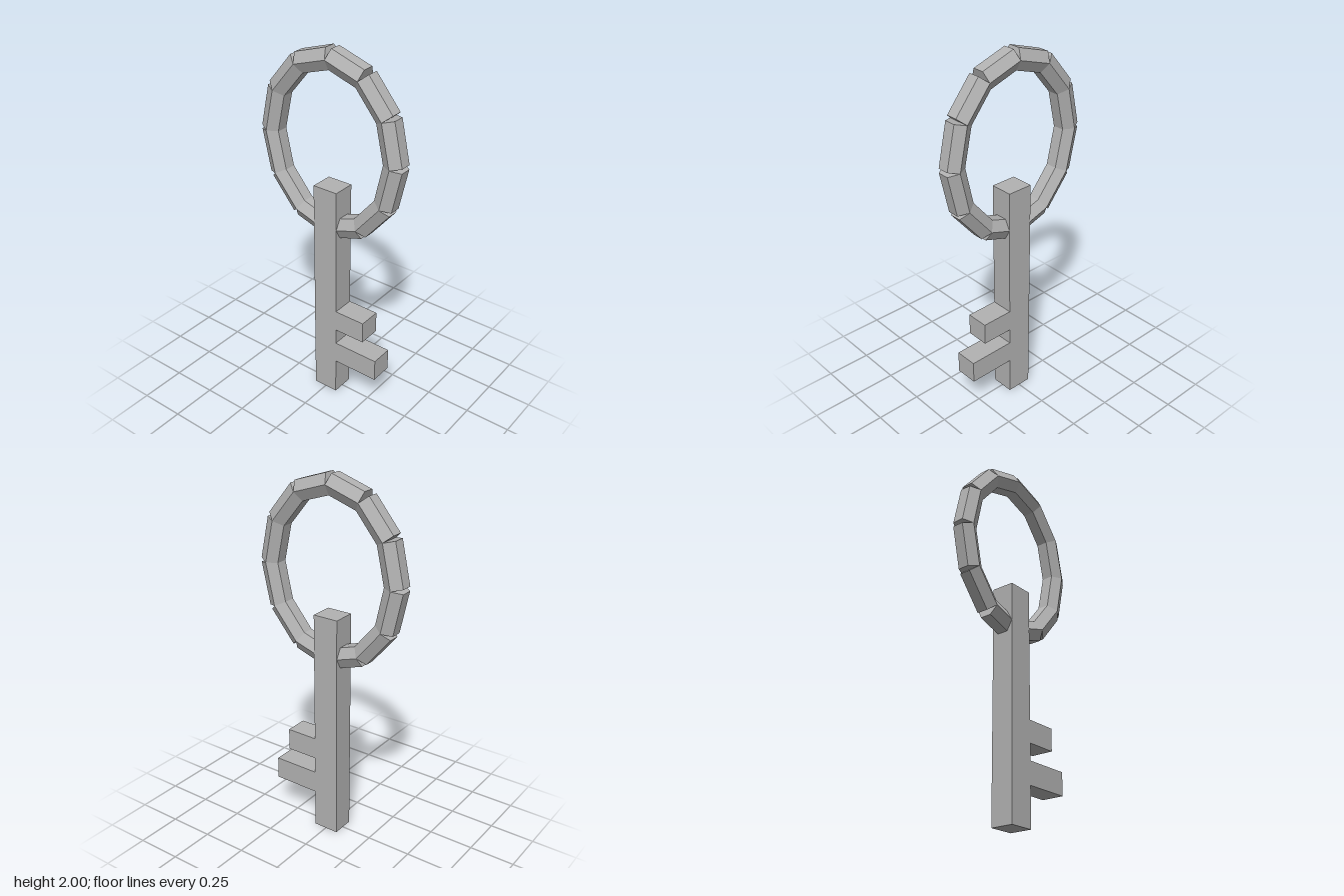
import * as THREE from 'three';

export function createModel() {
  const model = new THREE.Group();
  const metal = new THREE.MeshStandardMaterial({ color: 0xb2b2b2, flatShading: true });
  metal.name = 'grey metal';
  const depth = 0.126;

  // Square bars: the shaft and the two teeth of the bit
  function addBar(name, x0, x1, y0, y1) {
    const bar = new THREE.Mesh(new THREE.BoxGeometry(x1 - x0, y1 - y0, depth), metal);
    bar.name = name;
    bar.position.set((x0 + x1) / 2, (y0 + y1) / 2, 0);
    model.add(bar);
  }
  addBar('shaft', -0.072, 0.072, 0, 1.273);
  addBar('upperTooth', 0.072, 0.25, 0.43, 0.552);
  addBar('lowerTooth', 0.072, 0.335, 0.215, 0.34);

  // Oval bow: twelve straight hexagonal rods laid end to end
  const bow = new THREE.Group();
  bow.name = 'bow';
  bow.position.y = 1.492;
  const count = 12;
  const corner = (i) => {
    const a = (i / count) * Math.PI * 2;
    return new THREE.Vector3(0.38 * Math.cos(a), 0.456 * Math.sin(a), 0);
  };
  const up = new THREE.Vector3(0, 1, 0);
  for (let i = 0; i < count; i++) {
    const a = corner(i), b = corner(i + 1);
    const along = b.clone().sub(a);
    const length = along.length();
    const rod = new THREE.Mesh(new THREE.CylinderGeometry(0.0625, 0.0625, length, 6), metal);
    rod.name = 'bowSegment' + (i + 1);
    rod.position.copy(a).add(b).multiplyScalar(0.5);
    rod.rotation.z = Math.atan2(along.y, along.x) - Math.PI / 2;
    bow.add(rod);
  }
  model.add(bow);
  return model;
}
